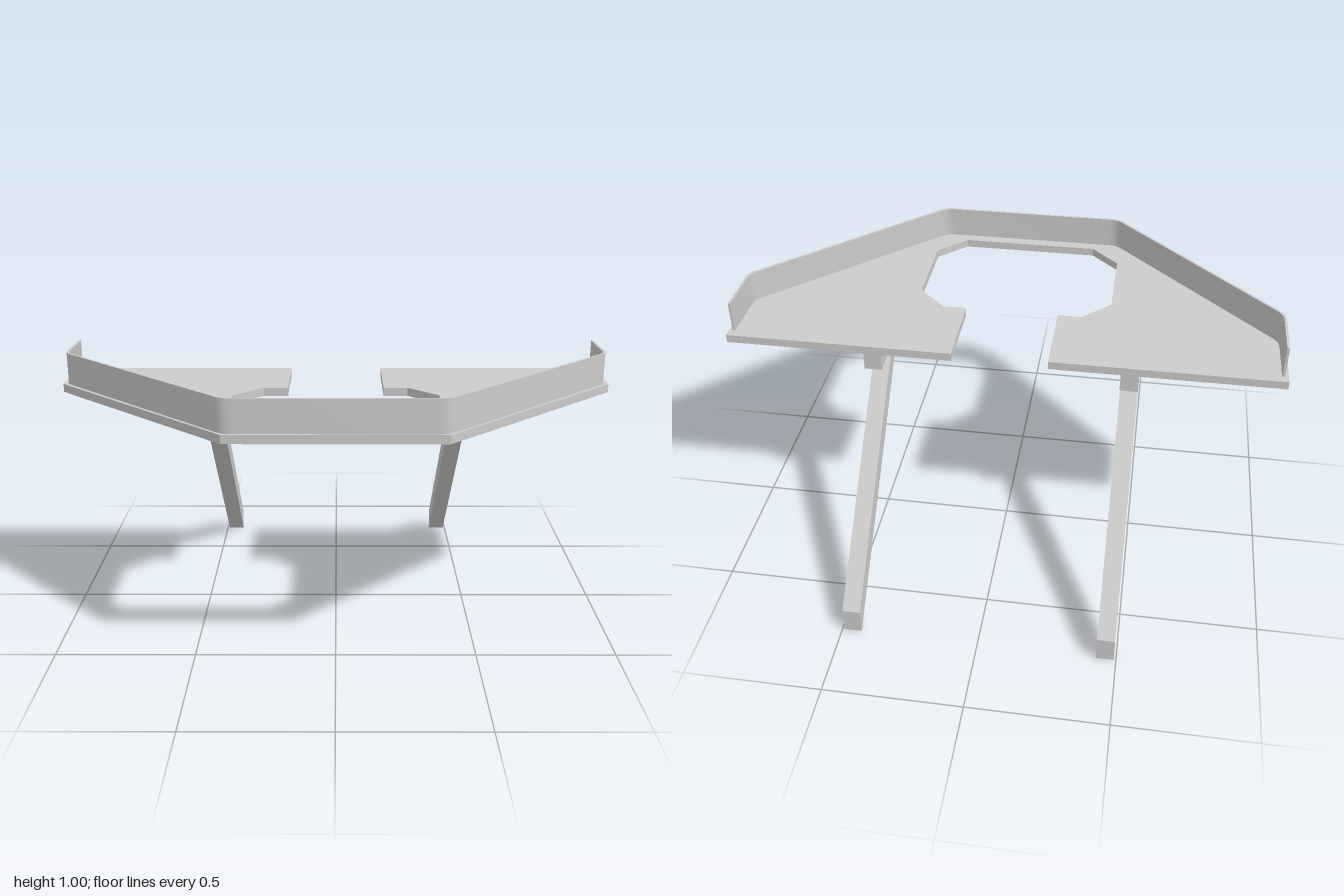
import * as THREE from 'three';
import { toCreasedNormals } from 'three/addons/utils/BufferGeometryUtils.js';

const material = new THREE.MeshStandardMaterial({ color: 0xcccccc });

const toShape = (points) => new THREE.Shape(points.map(([x, y]) => new THREE.Vector2(x, y)));

// Completes a right-to-left mirrored outline from its +x half
const mirrored = (half) => [...half, ...half.map(([x, z]) => [-x, z]).reverse()];

// Plan outline (x, z) extruded between two heights
function slab(points, bottom, top) {
  const geometry = new THREE.ExtrudeGeometry(toShape(points), { depth: top - bottom, bevelEnabled: false });
  return geometry.rotateX(Math.PI / 2).translate(0, top, 0);
}

// Side profile (z, y) extruded across the width, centred on x
function sideProfile(points, width, x) {
  const geometry = new THREE.ExtrudeGeometry(toShape(points), { depth: width, bevelEnabled: false });
  return geometry.rotateY(-Math.PI / 2).translate(x + width / 2, 0, 0);
}

// Rounds the inner corners of an open path
function filletPath(points, radius) {
  const corners = points.map(([x, y]) => new THREE.Vector2(x, y));
  const result = [points[0]];
  for (let i = 1; i < corners.length - 1; i++) {
    const c = corners[i];
    const a = c.clone().add(corners[i - 1].clone().sub(c).setLength(radius));
    const b = c.clone().add(corners[i + 1].clone().sub(c).setLength(radius));
    new THREE.QuadraticBezierCurve(a, c, b).getPoints(4).forEach((p) => result.push([p.x, p.y]));
  }
  result.push(points[points.length - 1]);
  return result;
}

export function createModel() {
  const group = new THREE.Group();
  const add = (name, geometry) => {
    const mesh = new THREE.Mesh(geometry, material);
    mesh.name = name;
    group.add(mesh);
  };

  // Platform: outer edge, then the cutout that opens to the back
  const outer = [[1, -0.18], [1, 0.075], [0.36, 0.717]];
  const cutout = [[0.365, 0.235], [0.26, 0.13], [0.173, 0.13], [0.173, -0.18]];
  const inner = [[0.26, 0.657], [0.365, 0.552], ...cutout];
  const left = [...inner].reverse();
  const right = inner.map(([x, z]) => [-x, z]);
  add('platform', slab([...left, ...right, ...mirrored(outer).reverse()], 0.855, 0.885));

  // Thin upright rail along the sides and front
  const t = 0.009;
  const railOuter = filletPath(mirrored([[0.986, -0.148], [0.986, 0.07], [0.355, 0.708]]), 0.03);
  const railInner = filletPath(
    mirrored([[0.986 - t, -0.148], [0.986 - t, 0.07 - t * 0.41], [0.355 - t * 0.41, 0.708 - t]]), 0.03);
  add('rail', toCreasedNormals(slab([...railOuter, ...railInner.reverse()], 0.885, 1), 0.5));

  // Tapered brackets and slanted struts underneath
  const bracket = [[0.38, 0.855], [0.38, 0.843], [-0.18, 0.79], [-0.18, 0.855]];
  const strut = [[0.09, 0.816], [-0.72, 0], [-0.72, 0.095], [-0.007, 0.807]];
  for (const [side, x] of [['left', 0.46], ['right', -0.46]]) {
    add(side + 'Bracket', sideProfile(bracket, 0.064, x));
    add(side + 'Strut', sideProfile(strut, 0.064, x));
  }
  return group;
}
